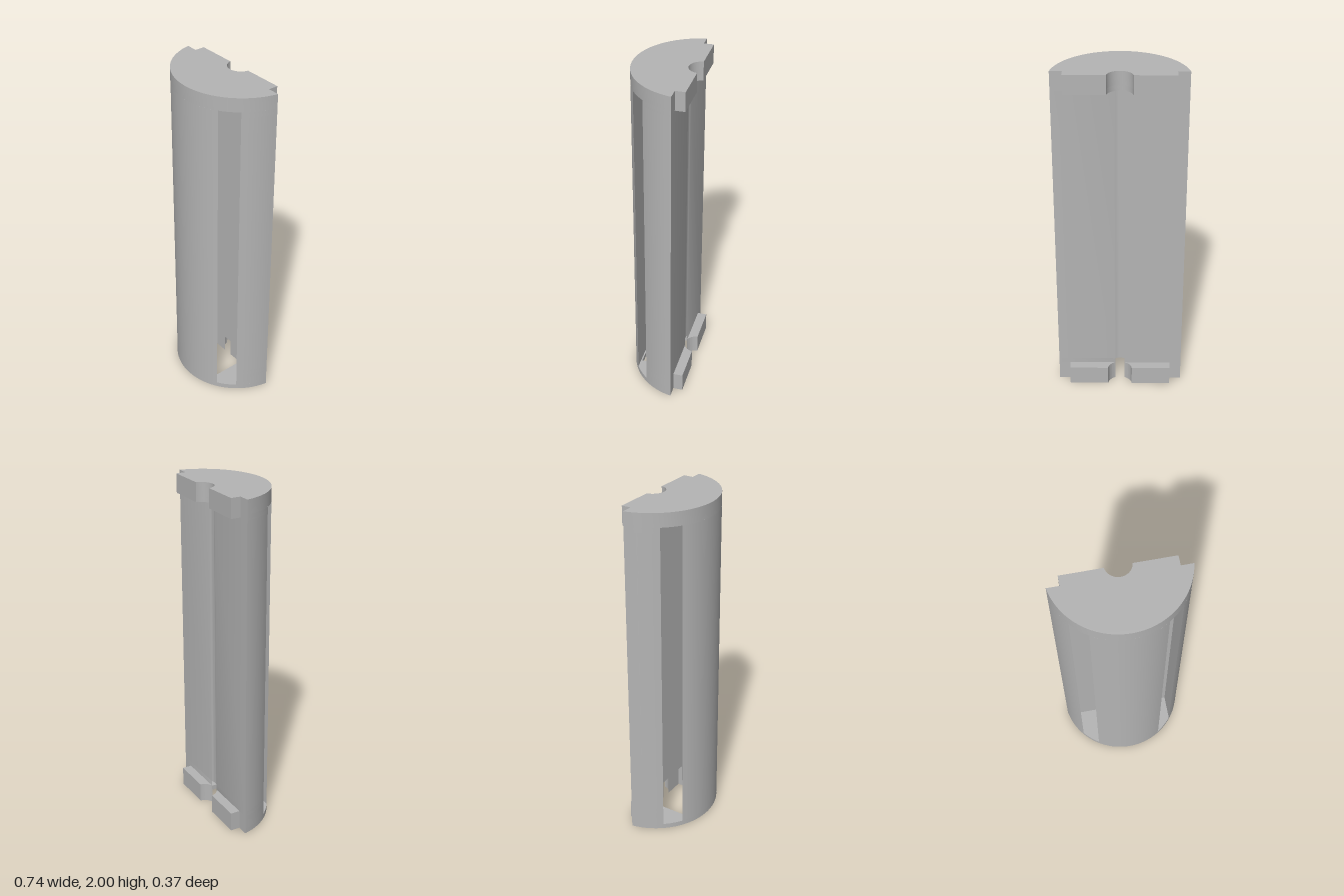
import * as THREE from 'three';
import { toCreasedNormals } from 'three/addons/utils/BufferGeometryUtils.js';

// Shared cross-section sizes (x, z)
const CZ = -0.193, R = 0.376, GROOVE_R = 0.073; // outer wall and rear groove share an axis
const BACK = -0.127, TAB_BACK = -0.183, TAB_X = 0.302;
const CAVITY = { x: 0.29, back: -0.1, front: 0.125 };
const PORT = { x: 0.145, back: -0.1255, front: 0.117 };

const angleAt = (r, z) => Math.asin((z - CZ) / r);
const acrossAt = (r, x) => Math.acos(x / r);

// Points along a circle about the shared axis
function arc(r, a0, a1, n) {
  const pts = [];
  for (let i = 0; i <= n; i++) {
    const a = a0 + (a1 - a0) * i / n;
    pts.push([r * Math.cos(a), CZ + r * Math.sin(a)]);
  }
  return pts;
}

const flip = pts => pts.map(([x, z]) => [-x, z]).reverse();

// Join a left half outline to its mirror image
const whole = half => [...half, ...flip(half.filter(p => p[0] > 1e-5))];

// Rear edge from the groove out to the side, with or without a tab
function rearEdge(tab, grooveStart) {
  const groove = arc(GROOVE_R, grooveStart, angleAt(GROOVE_R, tab ? TAB_BACK : BACK), tab ? 10 : 4);
  return tab ? [...groove, [TAB_X, TAB_BACK], [TAB_X, BACK]] : groove;
}

export function createModel() {
  const model = new THREE.Group();
  const grey = new THREE.MeshStandardMaterial({ color: 0xb4b4b4 });
  grey.name = 'grey plastic';

  // Extrude an x-z outline between two heights
  function slab(name, pts, y0, y1) {
    const shape = new THREE.Shape(pts.map(([x, z]) => new THREE.Vector2(x, z)));
    const geo = new THREE.ExtrudeGeometry(shape, { depth: y1 - y0, bevelEnabled: false });
    geo.rotateX(Math.PI / 2).translate(0, y1, 0);
    const mesh = new THREE.Mesh(toCreasedNormals(geo, 0.5), grey);
    mesh.name = name;
    model.add(mesh);
  }

  const grooveDeep = Math.PI / 2, groovePort = angleAt(GROOVE_R, PORT.back);
  const sideStart = angleAt(R, BACK);
  const fullWall = arc(R, sideStart, Math.PI / 2, 18);
  const sideWall = arc(R, sideStart, acrossAt(R, CAVITY.x), 8);
  const portCorners = [[PORT.x, PORT.back]];

  // Solid top end with tabs
  slab('topEnd', whole([...rearEdge(true, grooveDeep), ...fullWall]), 1.92, 2);

  // Bottom end, with a rectangular port that breaks into the groove
  slab('bottomEnd', whole([
    [PORT.x, PORT.front], ...portCorners, ...rearEdge(true, groovePort), ...fullWall,
  ]), 0, 0.03);

  // Curved front wall between the two long side slots
  const slotEdge = angleAt(R, CAVITY.front);
  slab('frontWall', arc(R, slotEdge, Math.PI - slotEdge, 20), 0.03, 1.92);

  // Rear wall and sides around the hollow
  const rearWall = tab => whole([
    ...rearEdge(tab, grooveDeep), ...sideWall, [CAVITY.x, CAVITY.back],
  ]);
  slab('rearWall', rearWall(false), 0.145, 1.89);
  slab('rearWallTopTabs', rearWall(true), 1.89, 1.92);

  // Lower rear wall, split in two by the port recess
  for (const [tab, y0, y1] of [[true, 0.03, 0.115], [false, 0.115, 0.145]]) {
    const half = [
      [CAVITY.x, CAVITY.back], [PORT.x, CAVITY.back], ...portCorners,
      ...rearEdge(tab, groovePort), ...sideWall,
    ];
    const name = tab ? 'LowerTab' : 'LowerWall';
    slab('left' + name, half, y0, y1);
    slab('right' + name, flip(half), y0, y1);
  }

  return model;
}
